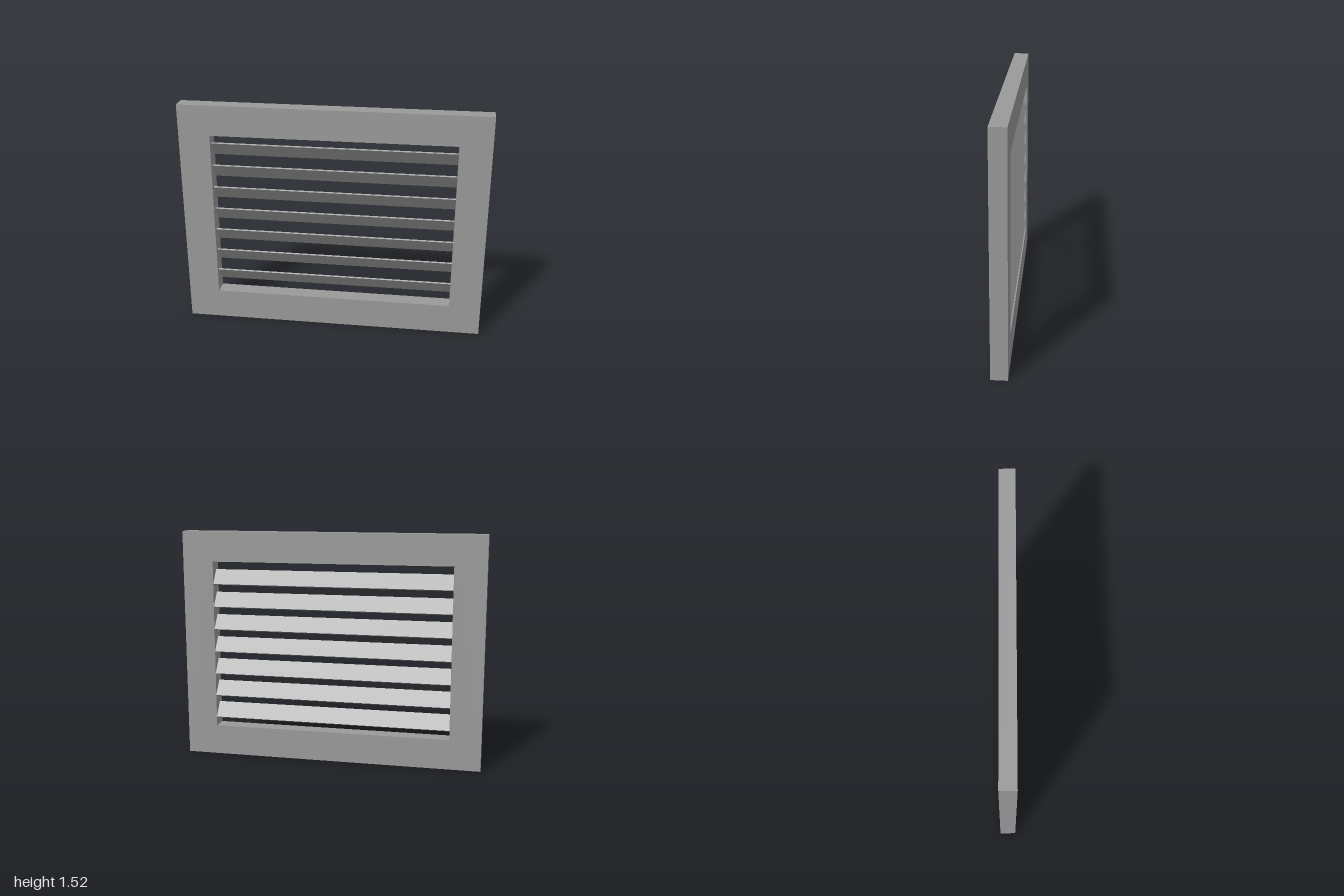
import * as THREE from 'three';

const WIDTH = 2, HEIGHT = 1.525, DEPTH = 0.104;
const OPEN_X = 0.794, OPEN_BOTTOM = 0.2, OPEN_TOP = 1.326;
const SLATS = 7, SLAT_Y = 0.306, PITCH = 0.1525;
const TILT = THREE.MathUtils.degToRad(35);

export function createModel() {
  const group = new THREE.Group();
  group.name = 'louvredVent';
  const material = new THREE.MeshStandardMaterial({ color: 0x9a9a9a });

  // Rectangular frame with one large opening
  const outline = new THREE.Shape([
    new THREE.Vector2(-WIDTH / 2, 0),
    new THREE.Vector2(WIDTH / 2, 0),
    new THREE.Vector2(WIDTH / 2, HEIGHT),
    new THREE.Vector2(-WIDTH / 2, HEIGHT),
  ]);
  outline.holes.push(new THREE.Path([
    new THREE.Vector2(-OPEN_X, OPEN_BOTTOM),
    new THREE.Vector2(-OPEN_X, OPEN_TOP),
    new THREE.Vector2(OPEN_X, OPEN_TOP),
    new THREE.Vector2(OPEN_X, OPEN_BOTTOM),
  ]));
  const frameGeometry = new THREE.ExtrudeGeometry(outline, { depth: DEPTH, bevelEnabled: false });
  frameGeometry.translate(0, 0, -DEPTH / 2);
  const frame = new THREE.Mesh(frameGeometry, material);
  frame.name = 'frame';
  group.add(frame);

  // Thin slats, top edge leaning forward, set towards the back of the opening
  const slatGeometry = new THREE.BoxGeometry(2 * OPEN_X, 0.114, 0.01);
  const slats = new THREE.Group();
  slats.name = 'slats';
  for (let i = 0; i < SLATS; i++) {
    const slat = new THREE.Mesh(slatGeometry, material);
    slat.name = `slat${i + 1}`;
    slat.position.set(0, SLAT_Y + i * PITCH, -0.015);
    slat.rotation.x = TILT;
    slats.add(slat);
  }
  group.add(slats);

  return group;
}
